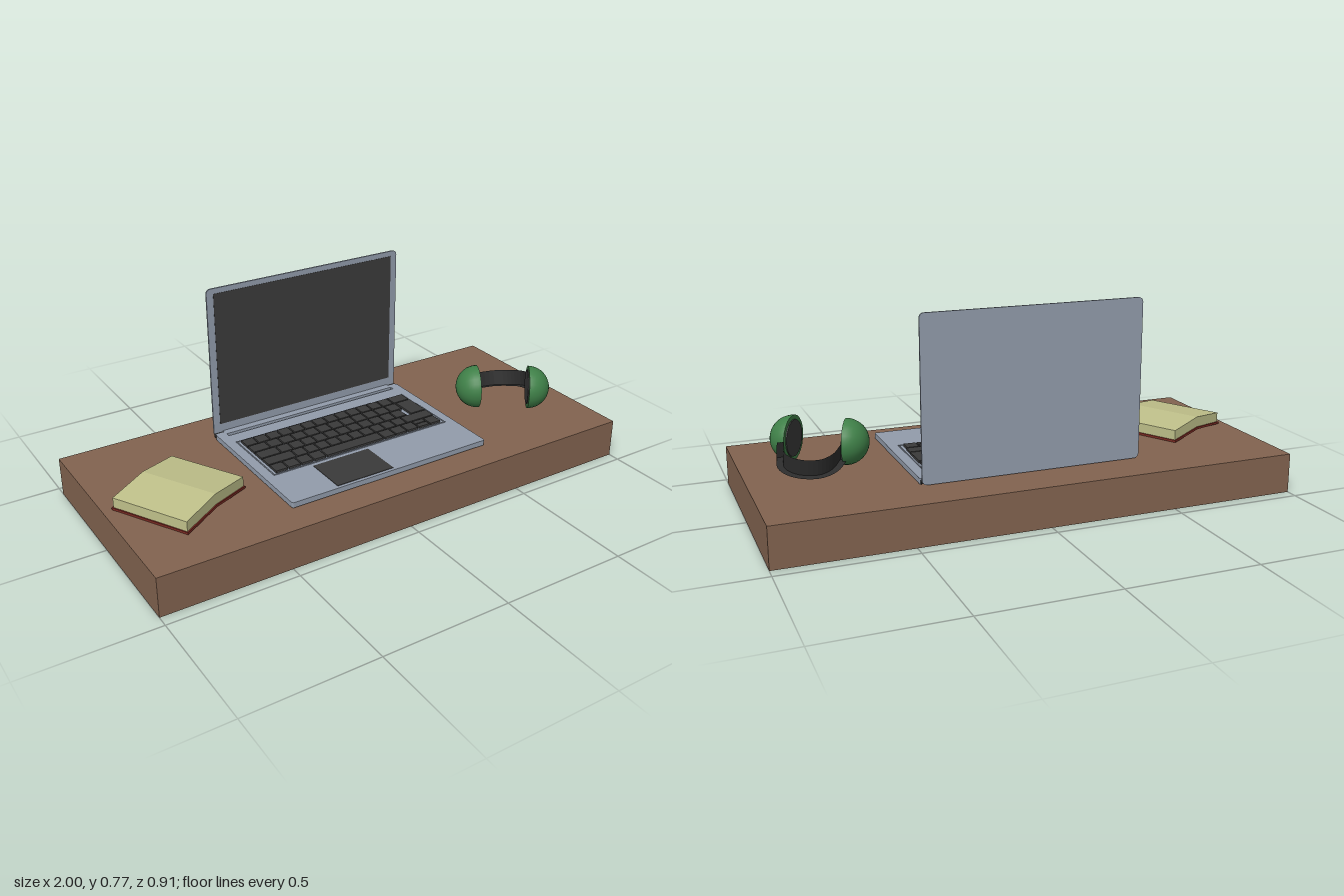
import * as THREE from 'three';

const mat = (color, extra = {}) => {
  const m = new THREE.MeshStandardMaterial(extra);
  m.color.set(color);
  return m;
};
const WOOD = mat(0x82634f), METAL = mat(0x929cab), DARK = mat(0x3a3a3a);
const PAPER = mat(0xbfc08a), COVER = mat(0x7a2a22);
const GREEN = mat(0x3f8048), BLACK = mat(0x2c2c2c);

function add(parent, name, geometry, material, x = 0, y = 0, z = 0) {
  const mesh = new THREE.Mesh(geometry, material);
  mesh.name = name;
  mesh.position.set(x, y, z);
  parent.add(mesh);
  return mesh;
}

// Box given by its x, y and z limits
function block(parent, name, material, [x0, x1], [y0, y1], [z0, z1]) {
  return add(parent, name, new THREE.BoxGeometry(x1 - x0, y1 - y0, z1 - z0), material,
    (x0 + x1) / 2, (y0 + y1) / 2, (z0 + z1) / 2);
}

function roundedRect(x0, y0, x1, y1, r) {
  const s = new THREE.Shape();
  s.absarc(x1 - r, y0 + r, r, -Math.PI / 2, 0);
  s.absarc(x1 - r, y1 - r, r, 0, Math.PI / 2);
  s.absarc(x0 + r, y1 - r, r, Math.PI / 2, Math.PI);
  s.absarc(x0 + r, y0 + r, r, Math.PI, Math.PI * 1.5);
  s.closePath();
  return s;
}

const extrude = (shape, depth) =>
  new THREE.ExtrudeGeometry(shape, { depth, bevelEnabled: false, curveSegments: 4 });

function createLaptop() {
  const laptop = new THREE.Group();
  laptop.name = 'laptop';

  // Base with an open vent slot behind the keys
  const plan = roundedRect(-0.43, -0.333, 0.43, 0.268, 0.008);
  const slot = [[-0.39, 0.232], [-0.39, 0.25], [0.39, 0.25], [0.39, 0.232]];
  plan.holes.push(new THREE.Path(slot.map(([x, y]) => new THREE.Vector2(x, y))));
  add(laptop, 'laptopBase', extrude(plan, 0.021).rotateX(-Math.PI / 2), METAL, 0, 0.158, 0);

  // Hinge bar and its end caps
  block(laptop, 'hingeBar', METAL, [-0.39, 0.39], [0.16, 0.178], [-0.284, -0.266]);
  for (const s of [-1, 1]) {
    add(laptop, 'hinge', new THREE.CylinderGeometry(0.008, 0.008, 0.036, 10).rotateZ(Math.PI / 2),
      DARK, s * 0.41, 0.169, -0.275);
  }

  // Lid and display
  add(laptop, 'lid', extrude(roundedRect(-0.428, 0.16, 0.428, 0.775, 0.018), 0.007), METAL, 0, 0, -0.29);
  block(laptop, 'display', DARK, [-0.4, 0.4], [0.21, 0.754], [-0.284, -0.282]);

  block(laptop, 'touchpad', DARK, [-0.235, 0.008], [0.178, 0.181], [0.15, 0.32]);

  // Raised rim round the keyboard
  for (const s of [-1, 1]) {
    block(laptop, 'keyboardRim', METAL, [s * 0.389 - 0.002, s * 0.389 + 0.002], [0.178, 0.182], [-0.168, 0.132]);
    block(laptop, 'keyboardRim', METAL, [-0.39, 0.39], [0.178, 0.182],
      [-0.018 + s * 0.148 - 0.002, -0.018 + s * 0.148 + 0.002]);
  }

  // Keys: each row is a list of widths, filled out from the left
  const same = (n, w) => Array(n).fill(w);
  const rows = [
    [...same(13, 0.0525), 0.0775],
    [0.075, ...same(11, 0.0555)],
    [0.09, ...same(11, 0.0527)],
    [0.125, ...same(10, 0.0505), 0.13],
    [...same(4, 0.055), 0.262, ...same(3, 0.055), 0.055, 0.053],
  ];
  const gap = 0.006, pitch = 0.0565, top = 0.188;
  rows.forEach((widths, r) => {
    const z = -0.155 + r * pitch;
    let x = -0.376;
    widths.forEach((w, i) => {
      const limits = [x, x + w - gap];
      if (r === 4 && i === 8) {
        // Split arrow key
        block(laptop, 'key', DARK, limits, [0.178, top], [z, z + 0.022]);
        block(laptop, 'key', DARK, limits, [0.178, top], [z + 0.027, z + 0.05]);
      } else {
        block(laptop, 'key', DARK, limits, [0.178, top], [z, z + pitch - gap]);
      }
      x += w;
    });
  });
  block(laptop, 'enterKey', DARK, [0.312, 0.38], [0.178, top], [-0.155 + pitch, -0.155 + 3 * pitch - gap]);
  return laptop;
}

// Slab bent along its middle like a shallow roof
function bentSlab(width, depth, edge0, edge1, mid0, mid1) {
  const w = width / 2;
  const shape = new THREE.Shape([[-w, edge0], [0, mid0], [w, edge0], [w, edge1], [0, mid1], [-w, edge1]]
    .map(([x, y]) => new THREE.Vector2(x, y)));
  return extrude(shape, depth).translate(0, 0, -depth / 2);
}

function createBook() {
  const book = new THREE.Group();
  book.name = 'book';
  add(book, 'cover', bentSlab(0.348, 0.328, 0, 0.009, 0.016, 0.025), COVER);
  add(book, 'pages', bentSlab(0.34, 0.318, 0.009, 0.048, 0.025, 0.067), PAPER);
  book.position.set(-0.735, 0.156, 0.059);
  book.rotation.y = 0.5;
  return book;
}

// Rectangular strap swept along a curve
function strap(points, halfWidth, halfThick, up, steps) {
  const curve = new THREE.CatmullRomCurve3(points.map((p) => new THREE.Vector3(...p)));
  const pos = [], index = [];
  for (let i = 0; i <= steps; i++) {
    const p = curve.getPoint(i / steps);
    const side = curve.getTangent(i / steps).cross(up).normalize();
    for (const [a, b] of [[-1, -1], [1, -1], [1, 1], [-1, 1]]) {
      const v = p.clone().addScaledVector(side, a * halfThick).addScaledVector(up, b * halfWidth);
      pos.push(v.x, v.y, v.z);
    }
  }
  for (let i = 0; i < steps; i++) {
    for (let k = 0; k < 4; k++) {
      const a = i * 4 + k, b = i * 4 + (k + 1) % 4;
      index.push(a, b, a + 4, b, b + 4, a + 4);
    }
  }
  const e = steps * 4;
  index.push(0, 2, 1, 0, 3, 2, e, e + 1, e + 2, e, e + 2, e + 3);
  const g = new THREE.BufferGeometry();
  g.setAttribute('position', new THREE.Float32BufferAttribute(pos, 3));
  g.setIndex(index);
  const flat = g.toNonIndexed();
  flat.computeVertexNormals();
  return flat;
}

function createHeadphones() {
  const phones = new THREE.Group();
  phones.name = 'headphones';
  const R = 0.0875;

  // Each cup: half-dome shell, flat rim and ear pad, facing local +z
  const cups = [[0.615, 0.048, 0.9, 0.436], [0.786, 0.165, -0.81, -0.58]];
  for (const [x, z, nx, nz] of cups) {
    const cup = new THREE.Group();
    cup.name = 'earCup';
    const dome = new THREE.SphereGeometry(R, 24, 10, 0, Math.PI * 2, 0, Math.PI / 2).rotateX(-Math.PI / 2);
    add(cup, 'cupShell', dome, GREEN);
    add(cup, 'cupRim', new THREE.RingGeometry(0.07, R, 24, 1), GREEN);
    add(cup, 'earPad', new THREE.CylinderGeometry(0.07, 0.072, 0.008, 24).rotateX(Math.PI / 2), DARK);
    cup.position.set(x, 0.247, z);
    cup.rotation.y = Math.atan2(nx, nz);
    phones.add(cup);
  }

  // Headband leaning down onto the desk at the back
  const path = [[0.64, 0.225, -0.015], [0.68, 0.206, -0.058], [0.735, 0.194, -0.075], [0.8, 0.194, -0.058],
    [0.845, 0.201, -0.015], [0.862, 0.212, 0.03], [0.85, 0.23, 0.09]];
  const up = new THREE.Vector3(0, 0.97, -0.24).normalize();
  add(phones, 'headband', strap(path, 0.032, 0.012, up, 22), BLACK);
  return phones;
}

export function createModel() {
  const model = new THREE.Group();
  model.name = 'deskScene';
  block(model, 'deskTop', WOOD, [-1, 1], [0, 0.154], [-0.454, 0.454]);
  model.add(createLaptop(), createBook(), createHeadphones());
  return model;
}
